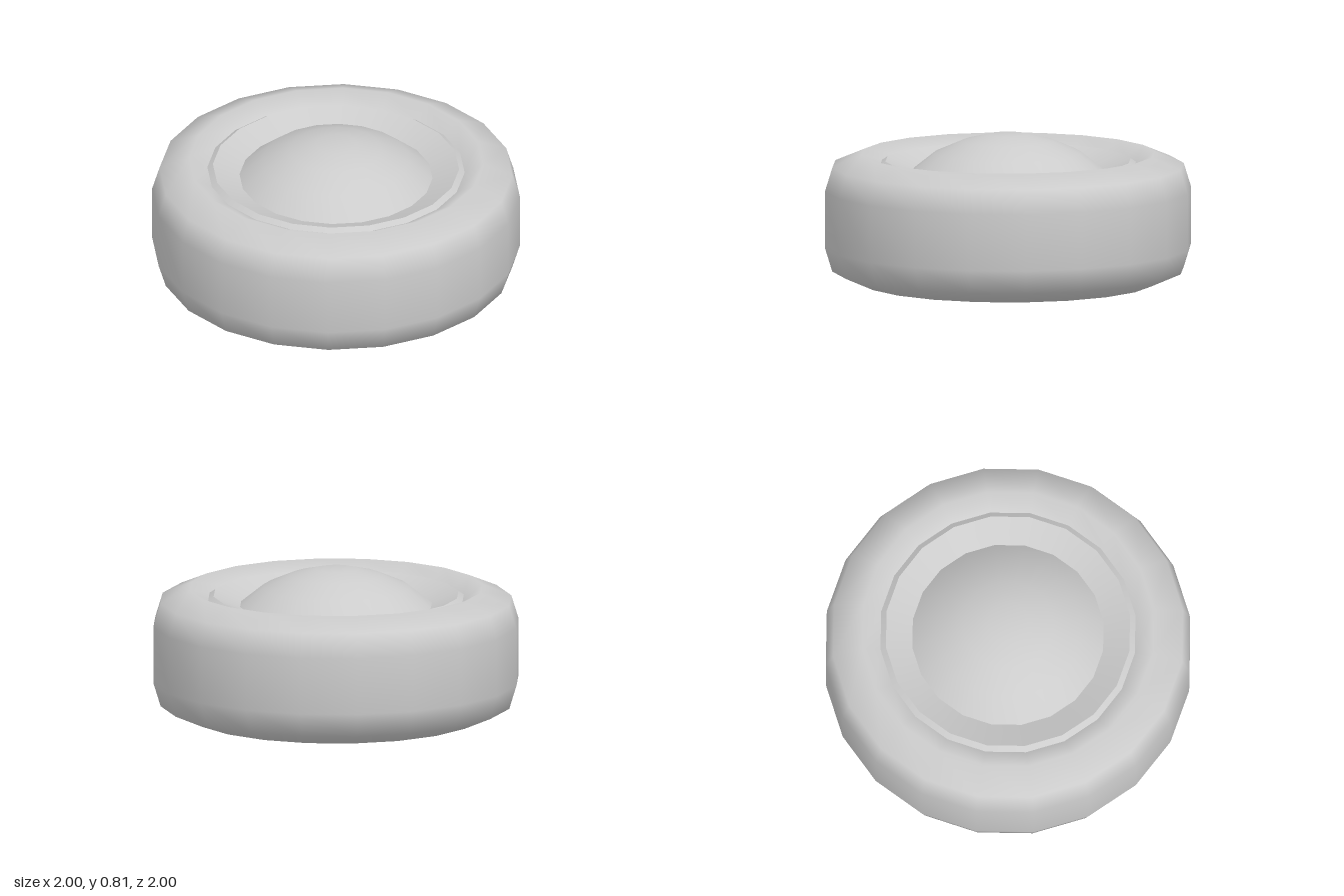
import * as THREE from 'three';

const SIDES = 20;

// Each part is a ring turned from a profile of [radius, height] points;
// splitting at part borders keeps those edges sharp.
function turned(name, profile, material) {
  const points = profile.map(([r, y]) => new THREE.Vector2(r, y));
  const mesh = new THREE.Mesh(new THREE.LatheGeometry(points, SIDES), material);
  mesh.name = name;
  return mesh;
}

export function createModel() {
  const group = new THREE.Group();
  group.name = 'wheel';
  const grey = new THREE.MeshStandardMaterial({ color: 0xcccccc });

  group.add(
    // flat inner face, set slightly into the tyre
    turned('backPlate', [[0, 0.03], [0.69, 0.03]], grey),
    // rounded tread with side walls dipping towards the rim
    turned('tyre', [
      [0.69, 0.03], [0.8, 0], [0.96, 0.07], [1, 0.2],
      [1, 0.51], [0.96, 0.64], [0.8, 0.707], [0.7, 0.65],
    ], grey),
    // narrow bevelled lip
    turned('rimLip', [[0.7, 0.65], [0.67, 0.67]], grey),
    // sloping dish down to the hub
    turned('rimDish', [[0.67, 0.67], [0.525, 0.61]], grey),
    // domed hub cap
    turned('hubCap', [
      [0.525, 0.61], [0.4, 0.71], [0.25, 0.775], [0.11, 0.81], [0, 0.81],
    ], grey),
  );
  return group;
}
